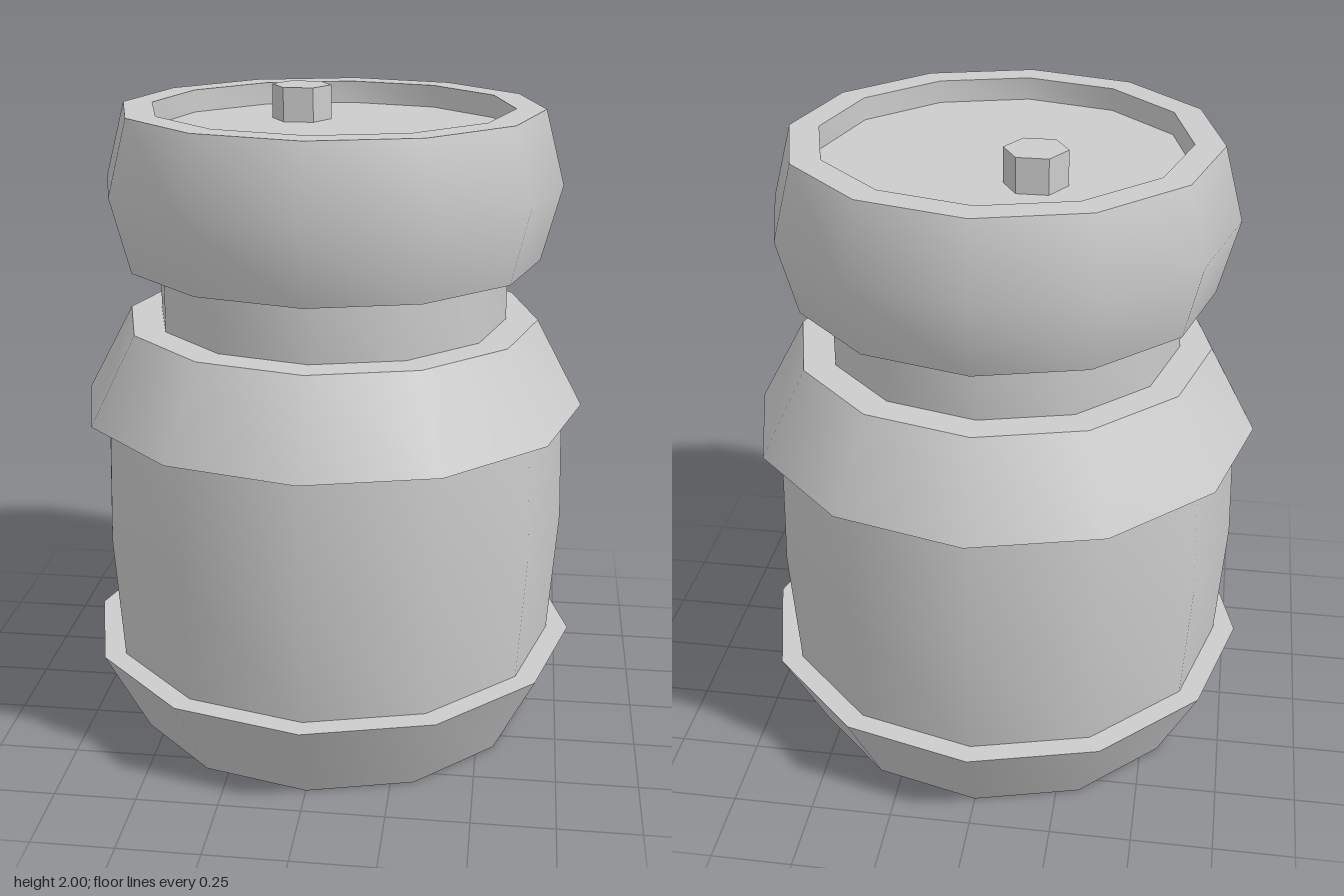
import * as THREE from 'three';
import { toCreasedNormals } from 'three/addons/utils/BufferGeometryUtils.js';

const SIDES = 12;
const material = new THREE.MeshStandardMaterial({ color: 0xcccccc });

// Twelve-sided turned part: smooth around, sharp where the profile turns
function turned(name, profile) {
  const points = profile.map(([r, y]) => new THREE.Vector2(r, y));
  const geometry = toCreasedNormals(new THREE.LatheGeometry(points, SIDES), 0.85);
  const mesh = new THREE.Mesh(geometry, material);
  mesh.name = name;
  return mesh;
}

export function createModel() {
  const jar = new THREE.Group();
  jar.name = 'jar';

  // Flared foot with a flat ledge around the body
  jar.add(turned('base', [[0, 0], [0.64, 0], [0.78, 0.275], [0.7, 0.275]]));

  // Slightly bulging body
  jar.add(turned('body', [[0.71, 0.27], [0.737, 0.67], [0.725, 1.055]]));

  // Overhanging sloped shoulder, flat below and on top
  jar.add(turned('shoulder', [[0.71, 1.05], [0.785, 1.05], [0.64, 1.32], [0.53, 1.32]]));

  // Narrow straight neck
  jar.add(turned('neck', [[0.542, 1.31], [0.542, 1.52]]));

  // Bulging lid with a raised rim and a sunken top
  jar.add(turned('lid', [
    [0.53, 1.51], [0.64, 1.51], [0.7, 1.74], [0.64, 1.965],
    [0.55, 1.965], [0.55, 1.895], [0, 1.895],
  ]));

  // Small hexagonal knob, off-centre on the lid
  const knobGeometry = new THREE.CylinderGeometry(0.093, 0.093, 0.11, 6).rotateY(Math.PI / 6);
  const knobMaterial = material.clone();
  knobMaterial.flatShading = true;
  const knob = new THREE.Mesh(knobGeometry, knobMaterial);
  knob.name = 'knob';
  knob.position.set(-0.118, 1.945, -0.193);
  jar.add(knob);

  return jar;
}
